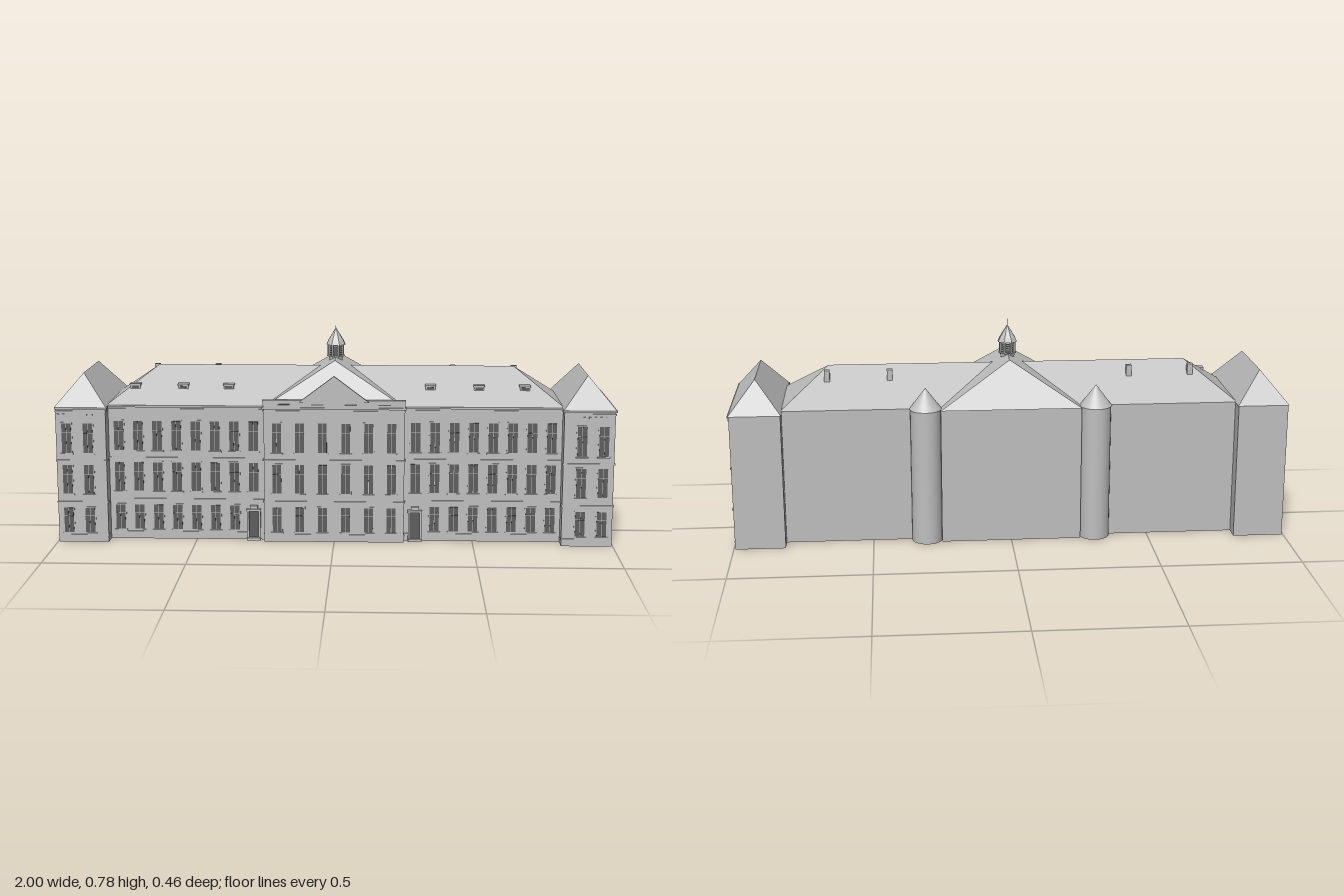
import * as THREE from 'three';
import { mergeGeometries } from 'three/addons/utils/BufferGeometryUtils.js';
import { ConvexGeometry } from 'three/addons/geometries/ConvexGeometry.js';

const stone = new THREE.MeshStandardMaterial({ color: 0xbfbfbf });
stone.name = 'grey stone';
const dark = new THREE.MeshStandardMaterial({ color: 0x5c5c5c });
dark.name = 'dark glass';

const EAVE = 0.495;
const FLOORS = [[0.037, 0.127], [0.18, 0.285], [0.33, 0.437]];

export function createModel() {
  const model = new THREE.Group();
  model.name = 'longBuilding';

  const add = (name, geometry, material = stone) => {
    const mesh = new THREE.Mesh(geometry, material);
    mesh.name = name;
    model.add(mesh);
    return mesh;
  };
  // box given by its limits
  const box = (x0, x1, y0, y1, z0, z1) =>
    new THREE.BoxGeometry(x1 - x0, y1 - y0, z1 - z0)
      .translate((x0 + x1) / 2, (y0 + y1) / 2, (z0 + z1) / 2);
  // four-sided roof over a rectangle, ending in a ridge
  const hipRoof = (x0, x1, z0, z1, y0, ridge) => new ConvexGeometry([
    ...[[x0, z0], [x1, z0], [x1, z1], [x0, z1]].map(([x, z]) => new THREE.Vector3(x, y0, z)),
    ...ridge.map((p) => new THREE.Vector3(...p)),
  ]);

  // Main masses
  add('mainBody', box(-0.82, 0.82, 0, EAVE, -0.17, 0.17));
  add('centreBody', box(-0.252, 0.252, 0, EAVE, -0.205, 0.197));
  add('mainRoof', hipRoof(-0.82, 0.82, -0.173, 0.173, EAVE, [[-0.65, 0.618, 0], [0.65, 0.618, 0]]));
  add('centreRoof', hipRoof(-0.252, 0.252, -0.212, 0.192, EAVE, [[0, 0.652, -0.112], [0, 0.652, 0.112]]));
  for (const s of [-1, 1]) {
    const [a, b] = s > 0 ? [0.815, 0.995] : [-0.995, -0.815];
    const mid = (a + b) / 2;
    add('endPavilion', box(a, b, 0, EAVE, -0.228, 0.225));
    add('pavilionRoof', hipRoof(a - 0.003, b + 0.003, -0.23, 0.228, EAVE,
      [[mid, 0.607, -0.143], [mid, 0.607, 0.138]]));
  }

  // Horizontal mouldings along the front and the left end
  const bands = [];
  const course = (y0, y1, out) => {
    bands.push(box(-0.815, 0.815, y0, y1, 0.16, 0.17 + out));
    bands.push(box(-0.252 - out, 0.252 + out, y0, y1, 0.16, 0.197 + out));
    bands.push(box(-0.995 - out / 3, -0.815 + out, y0, y1, 0.2, 0.225 + out));
    bands.push(box(0.815 - out, 0.995 + out, y0, y1, 0.2, 0.225 + out));
    bands.push(box(0.98, 0.995 + out, y0, y1, -0.222, 0.21));
  };
  course(0.024, 0.028, 0.002);
  course(0.146, 0.151, 0.004);
  course(0.299, 0.304, 0.004);
  course(0.478, 0.483, 0.003);
  course(0.488, 0.495, 0.006);
  for (const s of [-1, 1])
    for (let i = 0; i < 9; i++) {
      const x = s * 0.905 + (i - 4) * 0.02;
      bands.push(box(x - 0.004, x + 0.004, 0.466, 0.472, 0.22, 0.228));
    }
  add('mouldings', mergeGeometries(bands));

  // Windows: a surround, a sill and four panes each
  const frames = [], panes = [];
  const addWindow = (x, z, [y0, y1], width, sideways = false) => {
    const place = (g) => (sideways ? g.rotateY(Math.PI / 2) : g).translate(x, 0, z);
    const w = width / 2, split = y0 + (y1 - y0) * 0.68, bar = 0.001;
    frames.push(place(box(-w - 0.004, w + 0.004, y0 - 0.003, y1 + 0.004, -0.004, 0.0012)));
    frames.push(place(box(-w - 0.006, w + 0.006, y0 - 0.006, y0 - 0.002, -0.004, 0.005)));
    for (const [a, b] of [[-w, -bar], [bar, w]])
      for (const [c, d] of [[y0, split - bar], [split + bar, y1]])
        panes.push(place(box(a, b, c, d, 0, 0.0025)));
  };
  FLOORS.forEach((floor, level) => {
    for (const s of [-1, 1]) {
      for (const x of [0.88, 0.957]) addWindow(s * x, 0.225, floor, 0.034);
      for (let i = level === 0 ? 1 : 0; i < 8; i++)
        addWindow(s * (0.292 + i * 0.0695), 0.17, floor, 0.034);
      for (const x of [0.042, 0.124, 0.206]) addWindow(s * x, 0.197, floor, 0.032);
    }
    for (const z of [-0.145, 0, 0.145]) addWindow(0.995, z, floor, 0.034, true);
  });
  add('windowFrames', mergeGeometries(frames));
  add('windowPanes', mergeGeometries(panes), dark);

  // Entrance porches beside the centre
  for (const s of [-1, 1]) {
    const x = s * 0.292;
    add('porch', mergeGeometries([
      box(x - 0.025, x - 0.017, 0, 0.108, 0.165, 0.184),
      box(x + 0.017, x + 0.025, 0, 0.108, 0.165, 0.184),
      box(x - 0.026, x + 0.026, 0.108, 0.116, 0.165, 0.186),
      box(x - 0.025, x + 0.025, 0, 0.01, 0.165, 0.19),
      box(x - 0.014, x + 0.014, 0.116, 0.128, 0.165, 0.18),
    ]));
    add('door', box(x - 0.017, x + 0.017, 0.01, 0.108, 0.168, 0.174), dark);
  }

  // Parapet and gable over the centre
  add('parapet', box(-0.254, 0.254, EAVE, 0.52, 0.19, 0.2));
  add('parapetCap', box(-0.256, 0.256, 0.517, 0.522, 0.188, 0.204));
  const gable = new THREE.Shape([[-0.12, 0.515], [0.12, 0.515], [0, 0.607]].map((p) => new THREE.Vector2(...p)));
  add('gable', new THREE.ExtrudeGeometry(gable, { depth: 0.008, bevelEnabled: false }).translate(0, 0, 0.196));
  const trim = new THREE.Shape([[-0.125, 0.515], [-0.11, 0.515], [0, 0.599], [0.11, 0.515], [0.125, 0.515], [0, 0.609]]
    .map((p) => new THREE.Vector2(...p)));
  add('gableTrim', new THREE.ExtrudeGeometry(trim, { depth: 0.012, bevelEnabled: false }).translate(0, 0, 0.195));
  for (const x of [-0.18, -0.06, 0.06, 0.18])
    add('parapetSlot', box(x - 0.022, x + 0.022, 0.503, 0.507, 0.199, 0.202), dark);

  // Round stair turrets on the back
  for (const s of [-1, 1]) {
    add('turret', new THREE.CylinderGeometry(0.055, 0.055, EAVE, 32).translate(s * 0.305, EAVE / 2, -0.175));
    add('turretCap', new THREE.ConeGeometry(0.058, 0.077, 32).translate(s * 0.305, EAVE + 0.0385, -0.175));
  }

  // Roof lights on the front slope, chimneys on the back slope
  for (const x of [-0.725, -0.55, -0.385, 0.345, 0.52, 0.685]) {
    add('roofLight', box(x - 0.018, x + 0.018, 0.535, 0.559, 0.072, 0.104));
    add('roofLightCap', box(x - 0.02, x + 0.02, 0.557, 0.562, 0.07, 0.107));
    add('roofLightPane', box(x - 0.013, x + 0.013, 0.546, 0.555, 0.102, 0.105), dark);
  }
  for (const x of [-0.665, -0.44, 0.43, 0.655])
    add('chimney', box(x - 0.01, x + 0.01, 0.56, 0.612, -0.065, -0.045));

  // Eight-sided cupola with louvres and a spire
  const octagon = (name, r0, r1, y0, y1, material) => {
    const g = new THREE.CylinderGeometry(r1, r0, y1 - y0, 8).rotateY(Math.PI / 8).translate(0, (y0 + y1) / 2, 0);
    add(name, g.toNonIndexed(), material).geometry.computeVertexNormals();
  };
  octagon('cupolaBase', 0.026, 0.028, 0.638, 0.653);
  octagon('cupolaFloor', 0.034, 0.034, 0.653, 0.657);
  octagon('cupolaCore', 0.023, 0.023, 0.657, 0.695, dark);
  for (let i = 0; i < 5; i++) octagon('louvre', 0.027, 0.024, 0.661 + i * 0.007, 0.664 + i * 0.007);
  for (let i = 0; i < 8; i++) {
    const a = (i + 0.5) * Math.PI / 4;
    add('cupolaPost', box(-0.003, 0.003, 0.655, 0.696, -0.003, 0.003)
      .rotateY(-a).translate(0.028 * Math.cos(a), 0, 0.028 * Math.sin(a)));
  }
  octagon('cupolaEave', 0.037, 0.03, 0.695, 0.71);
  octagon('cupolaRoof', 0.03, 0.001, 0.71, 0.756);
  add('spire', new THREE.CylinderGeometry(0.0006, 0.001, 0.03, 6).translate(0, 0.764, 0));

  return model;
}
